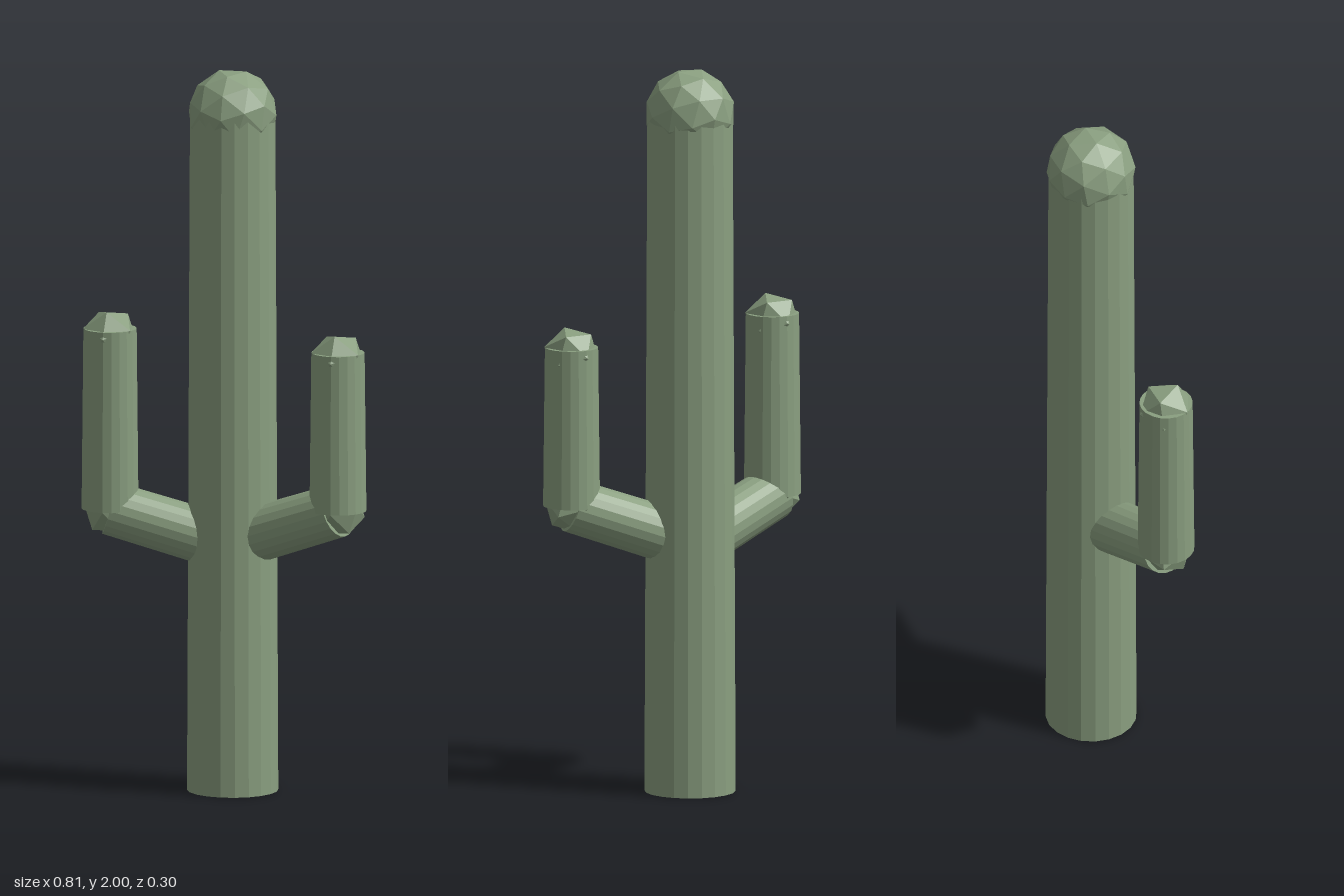
import * as THREE from 'three';

const cactusGreen = new THREE.MeshStandardMaterial({ color: 0x8a9f80, flatShading: true });
cactusGreen.name = 'cactusGreen';

function add(parent, name, geometry) {
  const mesh = new THREE.Mesh(geometry, cactusGreen);
  mesh.name = name;
  parent.add(mesh);
  return mesh;
}

// Faceted ball with one of its vertices pointing along z
function ball(parent, name, radius, detail, position) {
  const geometry = new THREE.IcosahedronGeometry(radius, detail);
  geometry.rotateX(-Math.atan(2 / (1 + Math.sqrt(5))));
  add(parent, name, geometry).position.copy(position);
}

// Tapered stem between two points
function stem(parent, name, from, to, r0, r1) {
  const dir = to.clone().sub(from);
  const mesh = add(parent, name, new THREE.CylinderGeometry(r1, r0, dir.length(), 20));
  mesh.position.copy(from).addScaledVector(dir, 0.5);
  mesh.quaternion.setFromUnitVectors(new THREE.Vector3(0, 1, 0), dir.normalize());
}

export function createModel() {
  const model = new THREE.Group();
  model.name = 'cactus';
  const v = (x, y, z) => new THREE.Vector3(x, y, z);
  const trunkZ = -0.025;

  // Trunk with rounded top
  stem(model, 'trunk', v(0, 0, trunkZ), v(0, 1.885, trunkZ), 0.125, 0.117);
  ball(model, 'trunkCap', 0.124, 1, v(0, 1.882, trunkZ));

  // Arms: sloping branch, elbow, upright and rounded tip
  const arms = [
    { name: 'leftArm', x: 0.325, z: 0.071, root: 0.69, elbow: 0.81, top: 1.25 },
    { name: 'rightArm', x: -0.325, z: 0.058, root: 0.68, elbow: 0.782, top: 1.283 },
  ];
  for (const a of arms) {
    const arm = new THREE.Group();
    arm.name = a.name;
    const elbow = v(a.x, a.elbow, a.z);
    stem(arm, 'branch', v(0, a.root, trunkZ), elbow, 0.077, 0.074);
    ball(arm, 'elbow', 0.078, 0, elbow);
    stem(arm, 'upright', elbow, v(a.x, a.top, a.z), 0.078, 0.073);
    ball(arm, 'tip', 0.078, 0, v(a.x, a.top - 0.02, a.z));
    model.add(arm);
  }
  return model;
}
